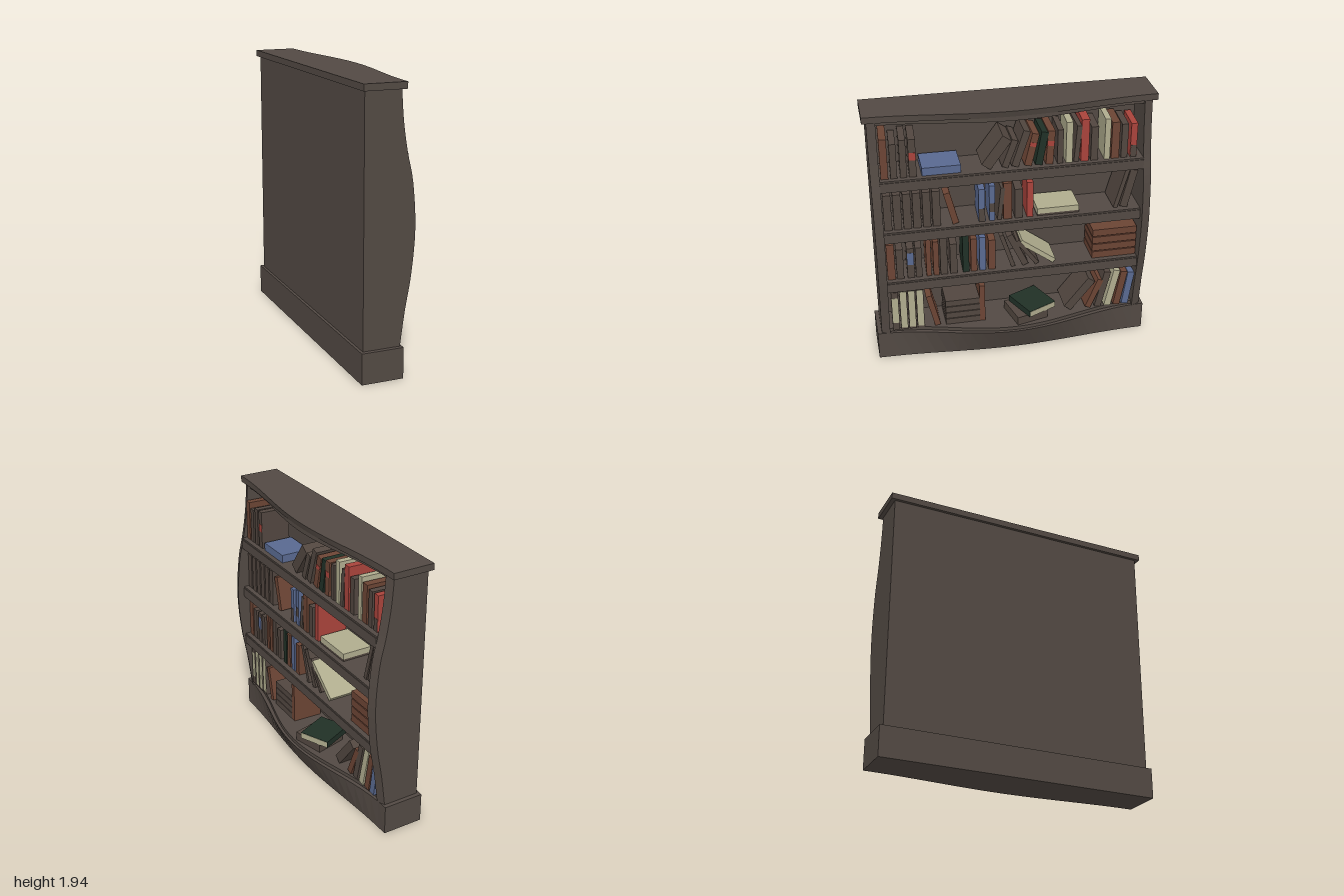
import * as THREE from 'three';

const mat = (name, color) => {
  const m = new THREE.MeshStandardMaterial({ color });
  m.name = name;
  return m;
};

export function createModel() {
  const model = new THREE.Group();
  const M = {
    wood: mat('dark wood', 0x524943), gray: mat('grey brown cover', 0x51463f),
    rust: mat('rust cover', 0x6b4434), blue: mat('blue cover', 0x596990),
    red: mat('red cover', 0xa8433b), cream: mat('cream cover', 0xb0ac8e),
    green: mat('green cover', 0x203026),
  };
  const add = (geo, material, name, parent = model) => {
    const mesh = new THREE.Mesh(geo, material);
    mesh.name = name;
    parent.add(mesh);
    return mesh;
  };
  const boxPart = (name, x0, x1, y0, y1, z0, z1) =>
    add(new THREE.BoxGeometry(x1 - x0, y1 - y0, z1 - z0), M.wood, name)
      .position.set((x0 + x1) / 2, (y0 + y1) / 2, (z0 + z1) / 2);

  // Horizontal board with a bowed front; the underside can bow less than the top
  function bowedBoard(name, back, end, bow, lowerBow, y0, y1, half) {
    const s = new THREE.Shape();
    s.moveTo(back, -half);
    for (let i = 0; i <= 24; i++) {
      const t = i / 12 - 1;
      s.lineTo(end + bow * (0.5 + 0.5 * Math.cos(Math.PI * t)), t * half);
    }
    s.lineTo(back, half);
    const g = new THREE.ExtrudeGeometry(s, { depth: y1 - y0, bevelEnabled: false });
    g.rotateX(-Math.PI / 2);
    const p = g.attributes.position;
    for (let i = 0; i < p.count; i++) {
      const x = p.getX(i);
      if (p.getY(i) < 0.001 && x > end) p.setX(i, end + (x - end) * lowerBow / bow);
    }
    g.computeVertexNormals();
    g.translate(0, y0, 0);
    add(g, M.wood, name);
  }
  bowedBoard('plinth', -0.23, 0.065, 0.16, 0.055, 0, 0.215, 1);
  bowedBoard('bottomShelf', -0.2, 0.05, 0.155, 0.155, 0.21, 0.242, 0.915);
  bowedBoard('topTrim', -0.2, 0.04, 0.095, 0.095, 1.865, 1.9, 0.915);
  bowedBoard('topSlab', -0.23, 0.065, 0.085, 0.07, 1.895, 1.94, 1);

  // Curved side panels, front edge angled so the inner edge stands further out
  const curve = new THREE.SplineCurve([[0.05, 0.2], [0.083, 0.45], [0.125, 0.7], [0.148, 1],
    [0.127, 1.3], [0.085, 1.5], [0.055, 1.7], [0.04, 1.9]].map(a => new THREE.Vector2(...a)));
  for (const side of [1, -1]) {
    const s = new THREE.Shape([new THREE.Vector2(-0.21, 0.2), ...curve.getPoints(28),
      new THREE.Vector2(-0.21, 1.9)]);
    const g = new THREE.ExtrudeGeometry(s, { depth: 0.06, bevelEnabled: false });
    g.translate(0, 0, side > 0 ? 0.91 : -0.97);
    const p = g.attributes.position;
    for (let i = 0; i < p.count; i++)
      if (p.getX(i) > 0 && Math.abs(p.getZ(i)) < 0.94) p.setX(i, p.getX(i) + 0.021);
    g.computeVertexNormals();
    add(g, M.wood, side > 0 ? 'leftSide' : 'rightSide');
  }

  // Back panel and straight shelves
  boxPart('backPanel', -0.21, -0.16, 0.2, 1.9, -0.92, 0.92);
  for (const y of [0.6, 1.005, 1.405]) {
    boxPart('shelf', -0.17, 0.12, y, y + 0.07, -0.912, 0.912);
    boxPart('shelfTop', -0.17, 0.115, y + 0.07, y + 0.082, -0.912, 0.912);
  }

  // Book standing on y, leaning by degrees towards -z; patch = [colour, from, to] up the spine
  const D = 0.22;
  function book(color, y, z, w, h, lean = 0, patch = null) {
    const a = lean * Math.PI / 180;
    const b = new THREE.Group();
    b.name = 'book';
    add(new THREE.BoxGeometry(D, h, w), M[color], 'cover', b).position.y = h / 2;
    if (patch) {
      const [c, p0, p1] = patch;
      add(new THREE.BoxGeometry(0.004, h * (p1 - p0), w * 0.9), M[c], 'spinePatch', b)
        .position.set(D / 2, h * (p0 + p1) / 2, 0);
    }
    b.rotation.set(-a, lean ? 0 : -0.045, 0);
    b.position.set(-0.03, y + Math.abs(Math.sin(a)) * w / 2, z);
    model.add(b);
  }
  // Upright book given by its two z edges and its top
  const up = (base, list) => list.forEach(([c, z0, z1, top, patch]) =>
    book(c, base, (z0 + z1) / 2, z0 - z1, top - base, 0, patch));
  const leaning = (base, list) => list.forEach(([c, z, w, h, deg, patch]) =>
    book(c, base, z, w, h, deg, patch));
  // Book lying flat
  const flat = (c, y0, y1, z0, z1, x = -0.03, yaw = 0, d = D) => {
    const m = add(new THREE.BoxGeometry(d, y1 - y0, z0 - z1), M[c], 'lyingBook');
    m.position.set(x, (y0 + y1) / 2, (z0 + z1) / 2);
    m.rotation.y = yaw;
    return m;
  };

  // Top row
  const r1 = 1.487;
  up(r1, [['rust', 0.895, 0.845, 1.78], ['gray', 0.83, 0.785, 1.74], ['gray', 0.765, 0.72, 1.765],
    ['gray', 0.705, 0.655, 1.765, ['red', 0.45, 0.65]], ['gray', -0.31, -0.35, 1.74],
    ['cream', -0.37, -0.415, 1.79], ['red', -0.475, -0.53, 1.8], ['gray', -0.545, -0.595, 1.74],
    ['cream', -0.64, -0.68, 1.79], ['rust', -0.69, -0.745, 1.76], ['gray', -0.76, -0.805, 1.74],
    ['red', -0.825, -0.87, 1.74, ['gray', 0, 0.35]]]);
  leaning(r1, [['gray', 0.19, 0.075, 0.25, 36], ['gray', 0.06, 0.045, 0.21, 20],
    ['gray', -0.01, 0.05, 0.27, 18], ['rust', -0.1, 0.05, 0.24, 13, ['red', 0.6, 0.72]],
    ['green', -0.175, 0.05, 0.245, 10], ['rust', -0.25, 0.05, 0.25, 3, ['red', 0.55, 0.7]],
    ['gray', -0.438, 0.035, 0.27, 4]]);
  flat('blue', r1, 1.545, 0.625, 0.36);

  // Second row
  const r2 = 1.087;
  for (let i = 0; i < 6; i++) book('gray', r2, 0.868 - i * 0.067, 0.055, 0.273);
  up(r2, [['blue', 0.24, 0.195, 1.34, ['gray', 0, 0.4]], ['blue', 0.165, 0.125, 1.36, ['gray', 0.25, 0.5]],
    ['rust', 0.065, 0.005, 1.37], ['gray', -0.015, -0.07, 1.315], ['red', -0.1, -0.145, 1.36]]);
  leaning(r2, [['rust', 0.405, 0.045, 0.25, -14], ['gray', 0.1, 0.03, 0.25, 6],
    ['gray', -0.735, 0.03, 0.31, 15], ['gray', -0.795, 0.055, 0.295, 13]]);
  flat('cream', r2 + 0.015, 1.143, -0.17, -0.47);
  flat('gray', r2, r2 + 0.015, -0.17, -0.47);

  // Third row
  const r3 = 0.683;
  up(r3, [['rust', 0.895, 0.84, 0.97], ['gray', 0.83, 0.78, 0.925],
    ['gray', 0.755, 0.705, 0.925, ['blue', 0.45, 0.85]], ['gray', 0.695, 0.65, 0.925],
    ['rust', 0.62, 0.585, 0.98], ['rust', 0.57, 0.53, 0.96], ['gray', 0.52, 0.47, 0.985],
    ['gray', 0.45, 0.4, 0.925], ['green', 0.36, 0.315, 0.98], ['rust', 0.302, 0.258, 0.95],
    ['blue', 0.24, 0.195, 0.955], ['rust', 0.175, 0.125, 0.925]]);
  leaning(r3, [['gray', 0, 0.03, 0.28, -18], ['gray', -0.09, 0.045, 0.28, -25],
    ['gray', -0.175, 0.03, 0.25, -36], ['cream', -0.3, 0.035, 0.31, -53]]);
  for (let i = 0; i < 4; i++) flat('rust', r3 + i * 0.061, r3 + 0.053 + i * 0.061, -0.58, -0.905);

  // Bottom row
  const r4 = 0.242;
  for (let i = 0; i < 4; i++)
    book('gray', r4, 0.858 - i * 0.06, 0.05, 0.328, 0, ['cream', i ? 0.05 : 0.2, i ? 1 : 0.85]);
  up(r4, [['rust', 0.245, 0.205, 0.545]]);
  leaning(r4, [['rust', 0.56, 0.042, 0.265, -13], ['gray', -0.41, 0.065, 0.29, 38],
    ['rust', -0.565, 0.045, 0.25, 22], ['gray', -0.64, 0.05, 0.305, 13],
    ['cream', -0.715, 0.05, 0.31, 12], ['rust', -0.785, 0.05, 0.29, 10],
    ['blue', -0.85, 0.05, 0.28, 8]]);
  for (let i = 0; i < 4; i++) flat('gray', r4 + i * 0.052, r4 + 0.046 + i * 0.052, 0.5, 0.25);

  // Two books lying askew, with a pale page edge on the upper one
  flat('gray', r4, 0.307, 0.02, -0.22, 0.045, 0.25, 0.24);
  const top = flat('green', 0.307, 0.355, -0.034, -0.264, 0.034, 0.436, 0.26);
  add(new THREE.BoxGeometry(0.004, 0.044, 0.225), M.cream, 'pageEdge', top).position.x = 0.13;

  return model;
}
